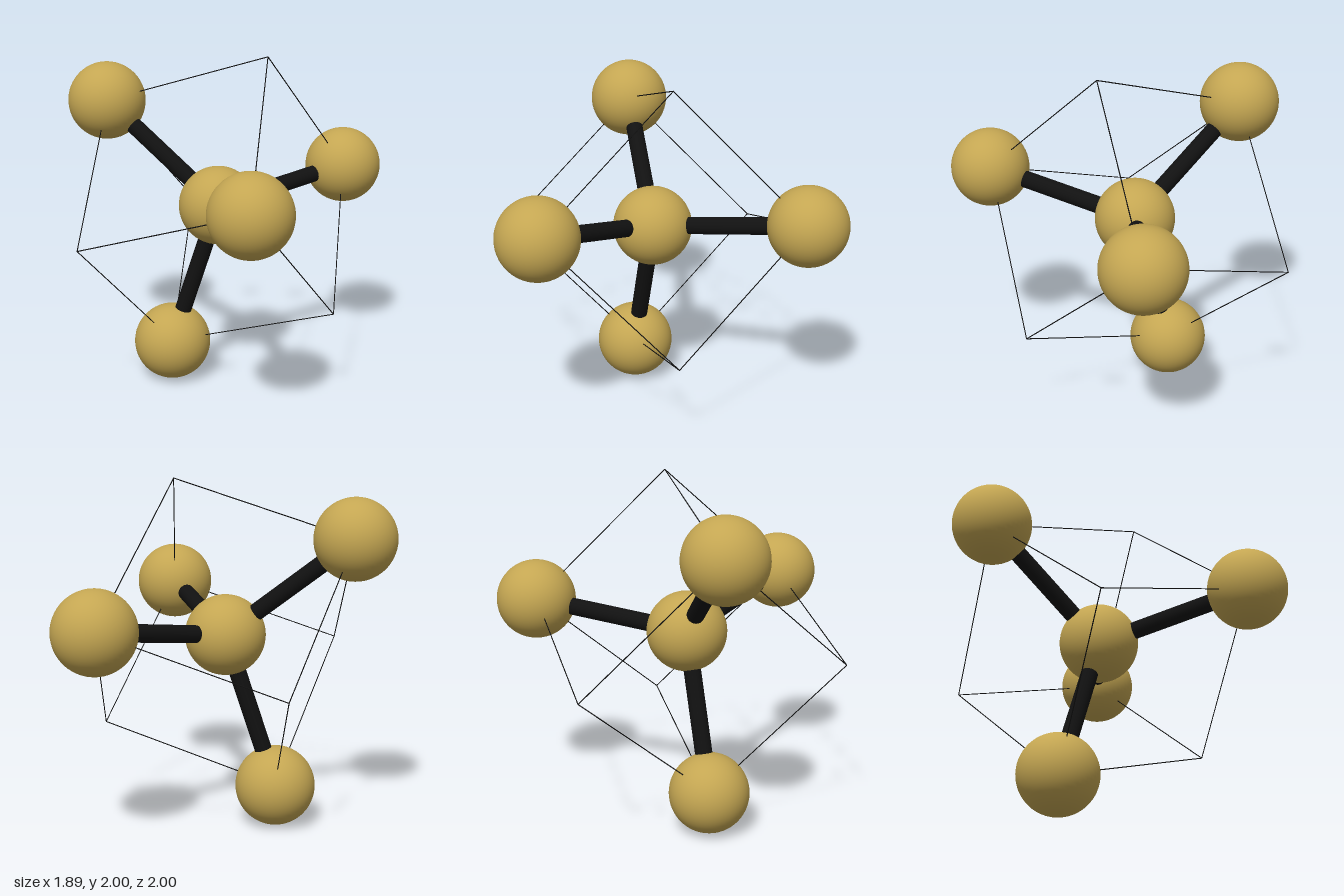
import * as THREE from 'three';

const BALL_RADIUS = 0.231;
const ROD_RADIUS = 0.05;
const WIRE_RADIUS = 0.003;

export function createModel() {
  const model = new THREE.Group();
  const gold = new THREE.MeshStandardMaterial({ color: 0xc4a652 });
  const black = new THREE.MeshStandardMaterial({ color: 0x111111 });
  const up = new THREE.Vector3(0, 1, 0);

  const add = (name, geometry, material, position) => {
    const mesh = new THREE.Mesh(geometry, material);
    mesh.name = name;
    mesh.position.copy(position);
    model.add(mesh);
    return mesh;
  };

  // Round bar running between two points
  const addBar = (name, a, b, radius, sides) => {
    const dir = b.clone().sub(a);
    const geometry = new THREE.CylinderGeometry(radius, radius, dir.length(), sides);
    const bar = add(name, geometry, black, a.clone().lerp(b, 0.5));
    bar.quaternion.setFromUnitVectors(up, dir.normalize());
  };

  // Outer balls sit on alternate corners of a tilted cube, the core at its centre
  const outer = [
    [-0.72, 1.683, -0.4],
    [0.17, 1.31, 0.77],
    [0.713, 1.243, -0.648],
    [-0.325, 0.232, -0.18],
  ].map((p) => new THREE.Vector3(...p));
  const core = new THREE.Vector3();
  outer.forEach((p) => core.addScaledVector(p, 1 / outer.length));

  // Balls and the rods joining them to the core
  const ball = new THREE.SphereGeometry(BALL_RADIUS, 48, 32);
  add('coreBall', ball, gold, core);
  outer.forEach((p, i) => {
    add(`outerBall${i + 1}`, ball, gold, p);
    addBar(`rod${i + 1}`, core, p, ROD_RADIUS, 24);
  });

  // Wire cube: each free corner is opposite one ball and joins the other three
  outer.forEach((opposite, i) => {
    const corner = core.clone().multiplyScalar(2).sub(opposite);
    outer.forEach((p, j) => {
      if (i !== j) addBar(`cubeEdge${i + 1}_${j + 1}`, corner, p, WIRE_RADIUS, 6);
    });
  });

  return model;
}
